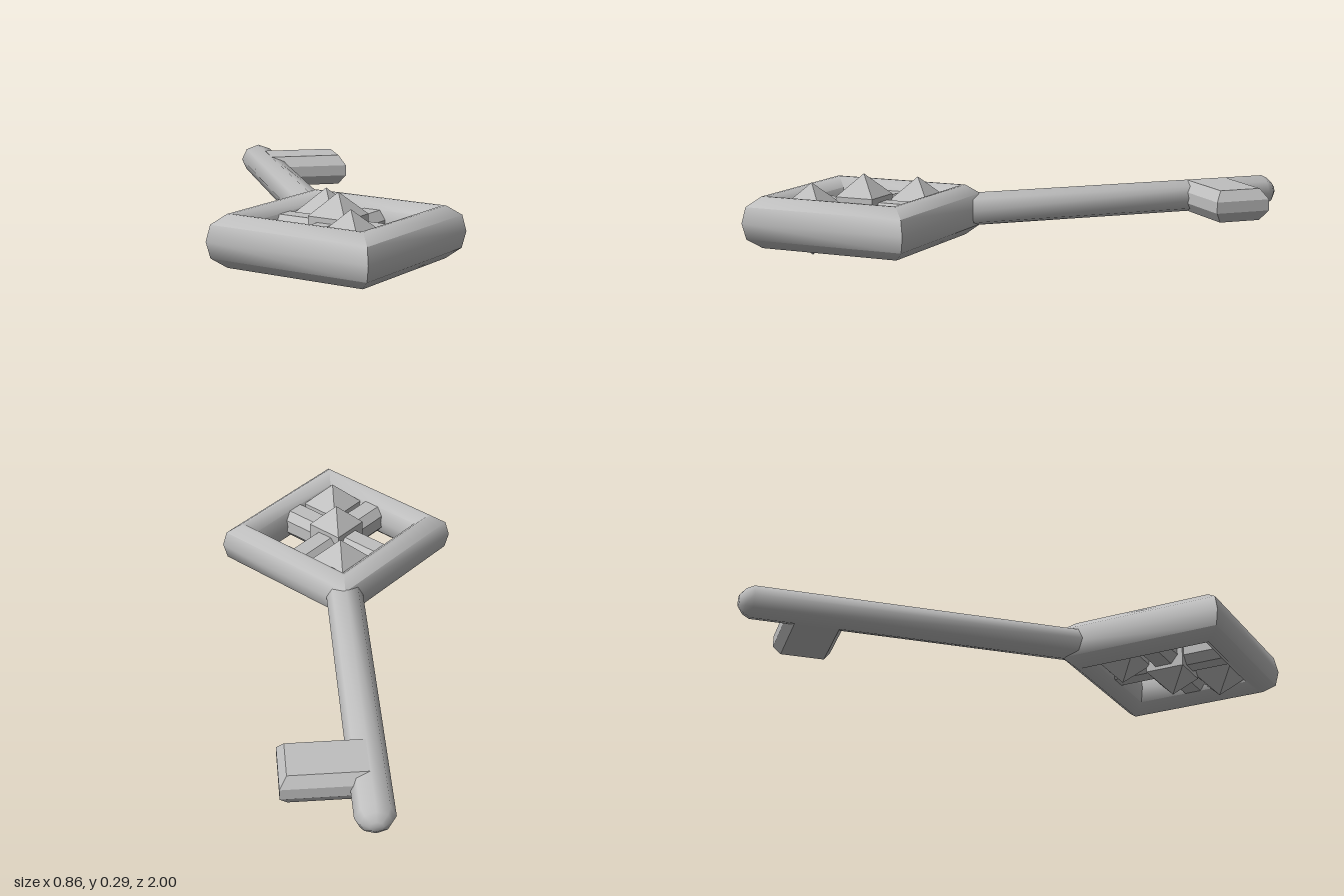
import * as THREE from 'three';
import { toCreasedNormals } from 'three/addons/utils/BufferGeometryUtils.js';

const MID = 0.143;   // height of the key's middle plane
const BOW = 0.57;    // z of the bow's centre

export function createModel() {
  const key = new THREE.Group();
  key.name = 'key';
  const metal = new THREE.MeshStandardMaterial({ color: 0xbfbfbf });
  metal.name = 'grey metal';

  function add(name, geometry, crease, x, y, z) {
    const mesh = new THREE.Mesh(toCreasedNormals(geometry, crease), metal);
    mesh.name = name;
    mesh.position.set(x, y, z);
    key.add(mesh);
    return mesh;
  }
  const lathe = (points, sides) =>
    new THREE.LatheGeometry(points.map(([r, y]) => new THREE.Vector2(r, y)), sides);

  // Diamond-shaped bow: rounded section swept round four corners
  add('bowFrame', lathe([
    [0.43, 0], [0.415, 0.055], [0.36, 0.088], [0.345, 0.088], [0.295, 0.055],
    [0.28, 0], [0.295, -0.055], [0.345, -0.088], [0.36, -0.088], [0.415, -0.055], [0.43, 0],
  ], 4), 1.1, 0, MID, BOW);

  // Shaft with a blunt rounded tip
  const shaft = lathe([[0, -0.25], [1, -0.25], [1, 0.955], [0.78, 0.98], [0.35, 1], [0, 1]], 8);
  shaft.rotateX(-Math.PI / 2);
  shaft.scale(0.067, 0.058, 1);
  add('shaft', shaft, 1.0, -0.002, MID, 0);

  // Bit: a plate with edges bevelled to a blunt ridge
  const plate = new THREE.Shape();
  plate.moveTo(0, 0.65).lineTo(0.265, 0.65).lineTo(0.265, 0.805).lineTo(0, 0.805).closePath();
  const bit = new THREE.ExtrudeGeometry(plate, {
    depth: 0.04, bevelThickness: 0.037, bevelSize: 0.025, bevelSegments: 1,
  });
  bit.translate(0, 0, -0.02);
  bit.rotateX(-Math.PI / 2);
  add('bit', bit, 0.4, 0, MID, 0);

  // Crossed bars joining the middles of the bow's sides
  const section = new THREE.Shape();
  section.moveTo(-0.055, 0.025).lineTo(-0.03, 0.055).lineTo(0.03, 0.055).lineTo(0.055, 0.025)
    .lineTo(0.055, -0.025).lineTo(0.03, -0.055).lineTo(-0.03, -0.055).lineTo(-0.055, -0.025).closePath();
  for (const side of [-1, 1]) {
    const bar = new THREE.ExtrudeGeometry(section, { depth: 0.46, bevelEnabled: false });
    bar.translate(0, 0, -0.23);
    bar.rotateY(side * Math.PI / 4);
    add(side < 0 ? 'rightCrossBar' : 'leftCrossBar', bar, 0.4, 0, MID, BOW);
  }

  // Three studs pointed above and below
  const studs = [
    ['backStud', 0.383, 0.108, 0.043, 0.124],
    ['centreStud', 0.575, 0.1, 0.07, 0.145],
    ['frontStud', 0.758, 0.108, 0.043, 0.124],
  ];
  for (const [name, z, r, base, tip] of studs) {
    add(name, lathe([[0, -tip], [r, -base], [r, base], [0, tip]], 4), 0.3, 0, MID + 0.002, z);
  }
  return key;
}
